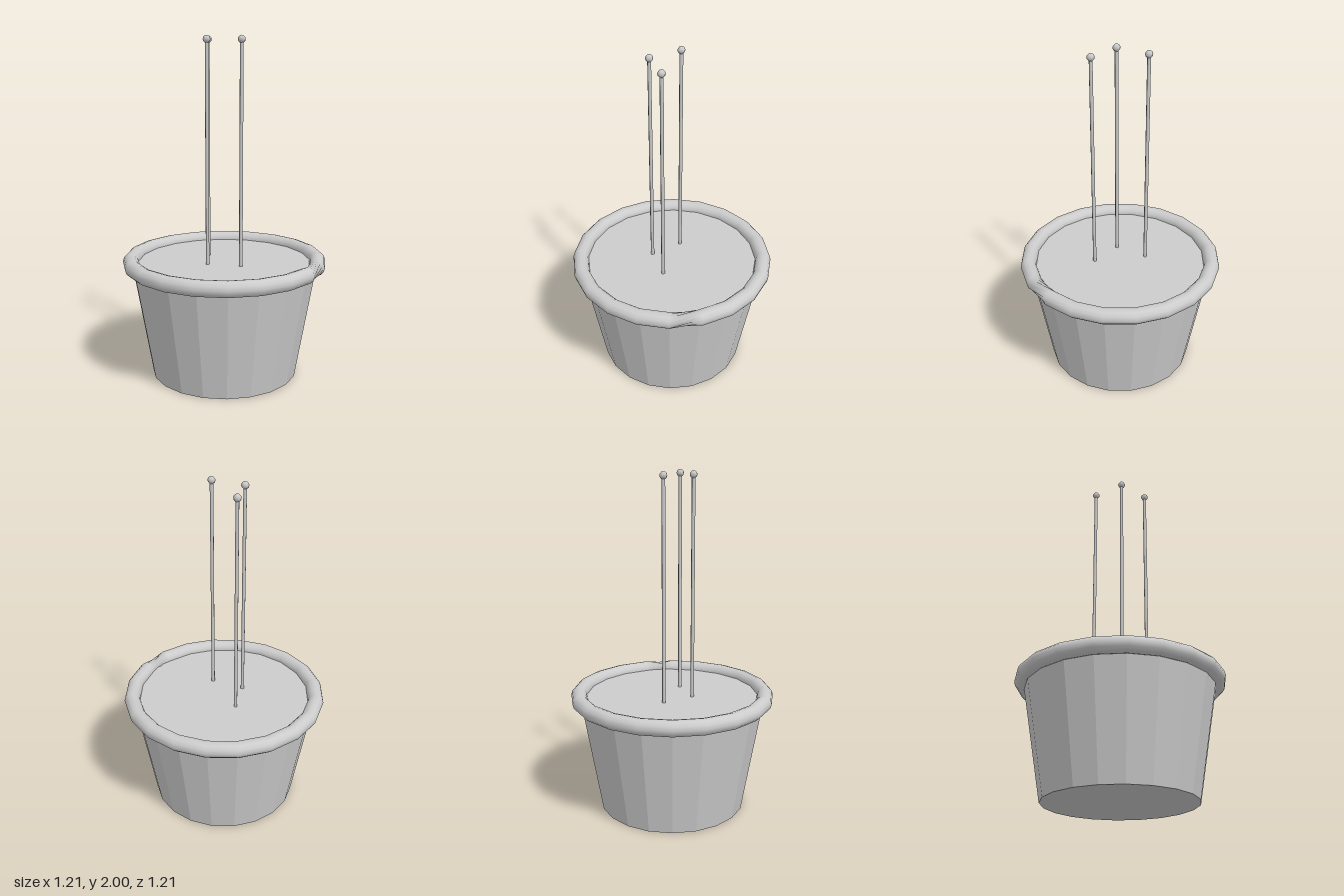
import * as THREE from 'three';

const SIDES = 20, RIM_R = 0.557, TUBE_R = 0.047, TOP_Y = 0.685;

// Rolled rim: a torus whose tube turns sharply across one segment
function rimGeometry() {
  const g = new THREE.TorusGeometry(RIM_R, TUBE_R, 12, SIDES);
  const p = g.attributes.position, n = g.attributes.normal;
  for (let i = 0; i < p.count; i++) {
    const ring = i % (SIDES + 1), tube = Math.floor(i / (SIDES + 1));
    const u = ring / SIDES * Math.PI * 2;
    const v = tube / 12 * Math.PI * 2 + (ring >= 2 ? Math.PI / 3 : 0);
    const r = RIM_R + TUBE_R * Math.cos(v);
    p.setXYZ(i, r * Math.cos(u), r * Math.sin(u), TUBE_R * Math.sin(v));
    n.setXYZ(i, Math.cos(v) * Math.cos(u), Math.cos(v) * Math.sin(u), Math.sin(v));
  }
  return g.rotateX(-Math.PI / 2);
}

export function createModel() {
  const group = new THREE.Group();
  const grey = new THREE.MeshStandardMaterial({ color: 0xcccccc });
  grey.name = 'grey';
  const flatGrey = grey;

  const add = (name, geometry, x = 0, y = 0, z = 0) => {
    const mesh = new THREE.Mesh(geometry, flatGrey);
    mesh.name = name;
    mesh.position.set(x, y, z);
    group.add(mesh);
  };
  const faceted = (geometry) => {
    const g = geometry.toNonIndexed();
    g.computeVertexNormals();
    return g;
  };

  // Tapered pot, closed at the base and filled to the middle of the rim
  add('pot', faceted(new THREE.CylinderGeometry(0.553, 0.435, TOP_Y, SIDES)), 0, TOP_Y / 2, 0);
  add('rim', rimGeometry(), 0, TOP_Y, 0);

  // Three thin stakes with small round tips
  for (const [x, z] of [[-0.155, 0], [0.155, 0], [0, 0.125]]) {
    const top = 1.978;
    add('stake', new THREE.CylinderGeometry(0.011, 0.011, top - TOP_Y, 6), x, (top + TOP_Y) / 2, z);
    add('stakeTip', new THREE.SphereGeometry(0.022, 6, 6), x, top, z);
  }
  return group;
}
